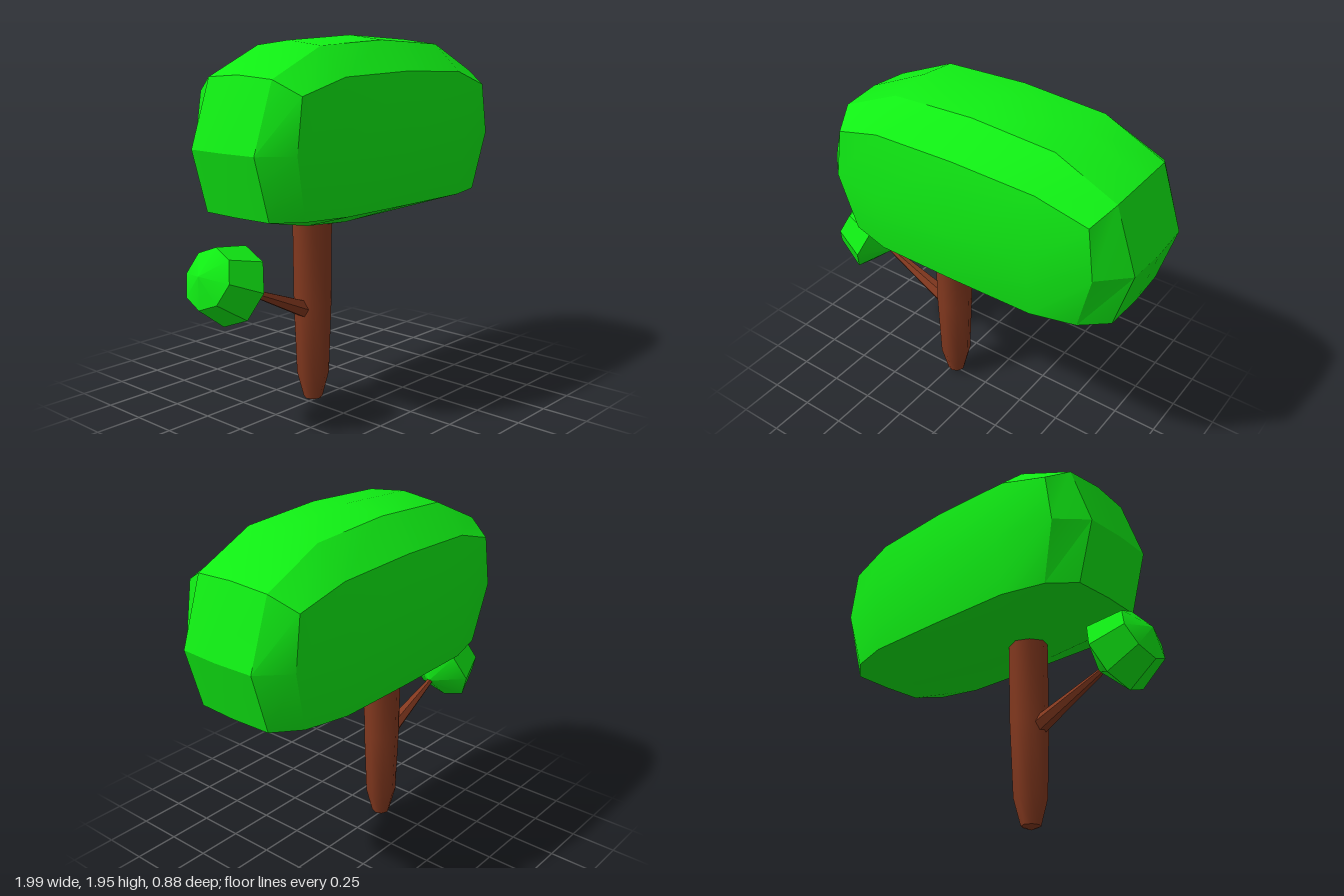
import * as THREE from 'three';
import { toCreasedNormals } from 'three/addons/utils/BufferGeometryUtils.js';

const leaf = new THREE.MeshStandardMaterial({ color: 0x10ee14 });
const bark = new THREE.MeshStandardMaterial({ color: 0x84391f });

function part(name, geometry, material, crease = 0.45) {
  const mesh = new THREE.Mesh(toCreasedNormals(geometry, crease), material);
  mesh.name = name;
  return mesh;
}

function lathe(points, sides) {
  return new THREE.LatheGeometry(points.map(([r, y]) => new THREE.Vector2(r, y)), sides);
}

// Box grid rounded off level by level; indices count grid steps from the middle.
function canopyGeometry() {
  const geo = new THREE.BoxGeometry(4, 2, 4, 4, 2, 4);
  const pos = geo.attributes.position;
  const levels = {
    '1': { x: [0.80, 0.79, 0.73], z: [0.385, 0.38, 0.355] },
    '0': { x: [0.92, 0.91, 0.77], z: [0.44, 0.43, 0.36] },
    '-1': { x: [0.83, 0.82, 0.69], z: [0.395, 0.39, 0.33] },
  };
  const topY = [[1.945, 1.92, 1.765], [1.92, 1.895, 1.75], [1.76, 1.745, 1.67]];
  for (let i = 0; i < pos.count; i++) {
    const gx = Math.round(pos.getX(i)), gy = Math.round(pos.getY(i)), gz = Math.round(pos.getZ(i));
    const a = Math.abs(gx), c = Math.abs(gz);
    const level = levels[gy];
    let x = 0.08 + Math.sign(gx) * [0, 0.46, level.x[c]][a];
    const z = Math.sign(gz) * [0, 0.22, level.z[a]][c];
    let y = gy === 1 ? topY[a][c] : gy === 0 ? 1.4 : 1.08;
    // underside sinks towards the trunk
    if (gy === -1 && a < 2 && c < 2) {
      x = 0.08 + gx * 0.56;
      y = 1.03;
      if (gx === 0) {
        x = -0.2;
        y = c === 0 ? 0.96 : 1.01;
      }
    }
    pos.setXYZ(i, x, y, z);
  }
  return geo;
}

export function createModel() {
  const tree = new THREE.Group();
  tree.name = 'tree';

  tree.add(part('canopy', canopyGeometry(), leaf));

  // Trunk tapering to a blunt foot
  const trunk = part('trunk', lathe(
    [[0, 0], [0.05, 0.02], [0.086, 0.16], [0.1, 0.55], [0.103, 1.0], [0, 1.0]], 8), bark, 0.9);
  trunk.position.x = -0.217;
  tree.add(trunk);

  // Side branch from the trunk to the small bush
  const start = new THREE.Vector3(-0.26, 0.515, 0), end = new THREE.Vector3(-0.69, 0.705, 0);
  const dir = end.clone().sub(start);
  const branch = part('branch', new THREE.CylinderGeometry(0.016, 0.05, dir.length(), 6), bark, 0.9);
  branch.position.copy(start).add(end).multiplyScalar(0.5);
  branch.quaternion.setFromUnitVectors(new THREE.Vector3(0, 1, 0), dir.normalize());
  tree.add(branch);

  // Small bush tilted outwards on the branch tip
  const bush = part('smallBush', lathe([[0, -0.105], [0.205, 0], [0.155, 0.185], [0, 0.245]], 8), leaf, 0.5);
  bush.position.set(-0.765, 0.745, 0);
  bush.rotation.z = 1.19;
  tree.add(bush);

  return tree;
}
